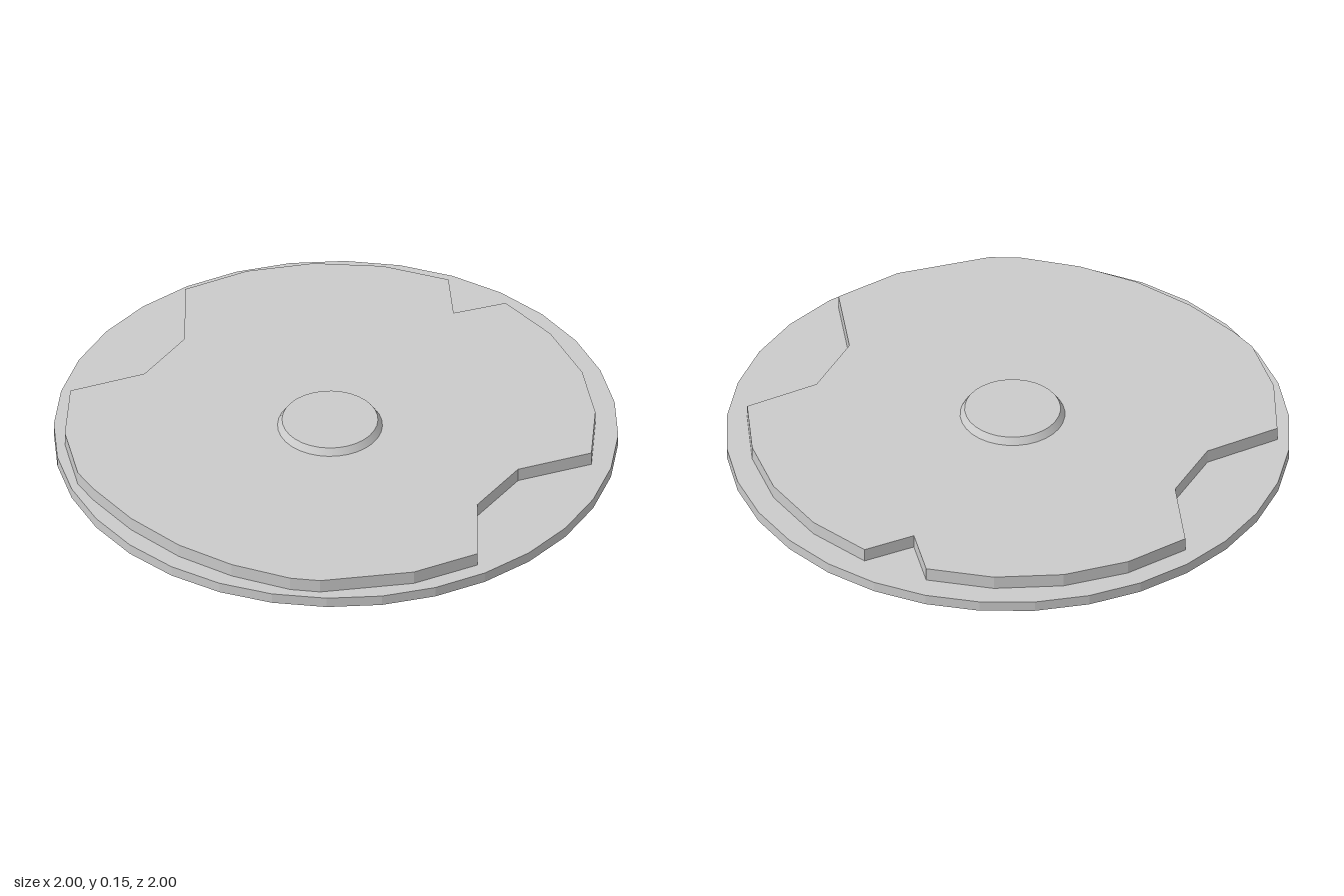
import * as THREE from 'three';

const material = (flatShading) => new THREE.MeshStandardMaterial({ color: 0xcccccc, flatShading });

// Upright disc spanning y0..y1
function disc(name, rTop, rBottom, y0, y1, sides, x, z, flat) {
  const mesh = new THREE.Mesh(new THREE.CylinderGeometry(rTop, rBottom, y1 - y0, sides), material(flat));
  mesh.name = name;
  mesh.position.set(x, (y0 + y1) / 2, z);
  return mesh;
}

// Outline of the notched plate as [x, z]
const OUTLINE = [
  // back notch
  [-0.155, -0.9], [-0.025, -0.75], [0.09, -0.905],
  // back left rim
  [0.325, -0.85], [0.55, -0.73], [0.725, -0.565], [0.855, -0.36],
  // left notch
  [0.7, -0.13], [0.705, 0.125], [0.875, 0.36],
  // front rim
  [0.755, 0.58], [0.515, 0.815], [0.42, 0.865], [0.205, 0.92], [-0.015, 0.935],
  [-0.245, 0.905], [-0.455, 0.84], [-0.555, 0.795], [-0.73, 0.63], [-0.86, 0.415],
  // right notch
  [-0.705, 0.18], [-0.71, -0.07], [-0.88, -0.31],
  // back right rim
  [-0.765, -0.525], [-0.6, -0.7], [-0.39, -0.83],
];

export function createModel() {
  const group = new THREE.Group();
  group.name = 'notchedDisc';

  // Slightly offset foot under the main disc
  group.add(disc('foot', 0.815, 0.815, 0, 0.036, 24, 0.005, 0.045, true));
  group.add(disc('mainDisc', 1, 1, 0.036, 0.075, 32, 0, 0, true));

  // Raised plate with three notches
  const shape = new THREE.Shape(OUTLINE.map(([x, z]) => new THREE.Vector2(x, -z)));
  const geometry = new THREE.ExtrudeGeometry(shape, { depth: 0.05, bevelEnabled: false });
  geometry.rotateX(-Math.PI / 2);
  const plate = new THREE.Mesh(geometry, material(true));
  plate.name = 'notchedPlate';
  plate.position.y = 0.075;
  group.add(plate);

  // Tapered centre button
  group.add(disc('centreButton', 0.17, 0.186, 0.125, 0.15, 32, 0.006, 0.045, false));

  return group;
}
